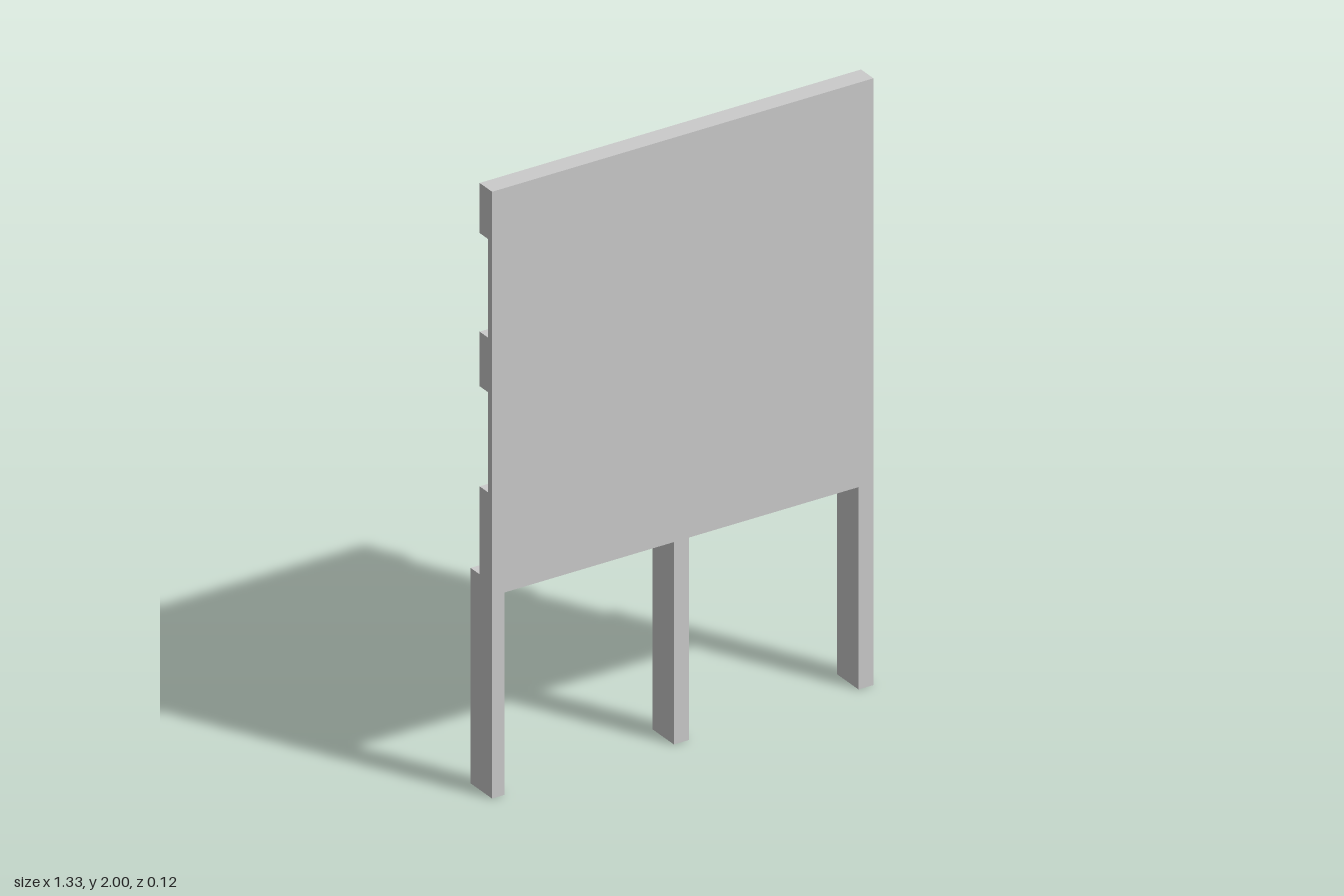
import * as THREE from 'three';

const material = new THREE.MeshStandardMaterial({ color: 0xcccccc, flatShading: true });

const HALF_WIDTH = 0.665;
const LEG_TOP = 0.667;
const FRONT = 0.058, SHEET_BACK = 0.036, BATTEN_BACK = -0.009, RAIL_BACK = -0.058;

export function createModel() {
  const model = new THREE.Group();
  model.name = 'signBoard';

  // Board: one side profile [z, y] with sheet, three battens and bottom ledge, run across the width
  const profile = [[FRONT, 2], [FRONT, LEG_TOP], [RAIL_BACK, LEG_TOP], [RAIL_BACK, 0.71], [BATTEN_BACK, 0.71]];
  const gaps = [[1.0, 1.33], [1.51, 1.835]];
  for (const [low, high] of gaps) {
    profile.push([BATTEN_BACK, low], [SHEET_BACK, low], [SHEET_BACK, high], [BATTEN_BACK, high]);
  }
  profile.push([BATTEN_BACK, 2]);

  const shape = new THREE.Shape(profile.map(([z, y]) => new THREE.Vector2(-z, y)));
  const boardGeometry = new THREE.ExtrudeGeometry(shape, { depth: 2 * HALF_WIDTH, bevelEnabled: false });
  boardGeometry.rotateY(Math.PI / 2).translate(-HALF_WIDTH, 0, 0);
  const board = new THREE.Mesh(boardGeometry, material);
  board.name = 'board';
  model.add(board);

  // Legs: flush with the front of the board and the back of the ledge
  const legs = [
    ['rightLeg', -HALF_WIDTH, -0.622],
    ['middleLeg', -0.031, 0.022],
    ['leftLeg', 0.613, HALF_WIDTH],
  ];
  for (const [name, x0, x1] of legs) {
    const leg = new THREE.Mesh(new THREE.BoxGeometry(x1 - x0, LEG_TOP, FRONT - RAIL_BACK), material);
    leg.name = name;
    leg.position.set((x0 + x1) / 2, LEG_TOP / 2, (FRONT + RAIL_BACK) / 2);
    model.add(leg);
  }

  return model;
}
